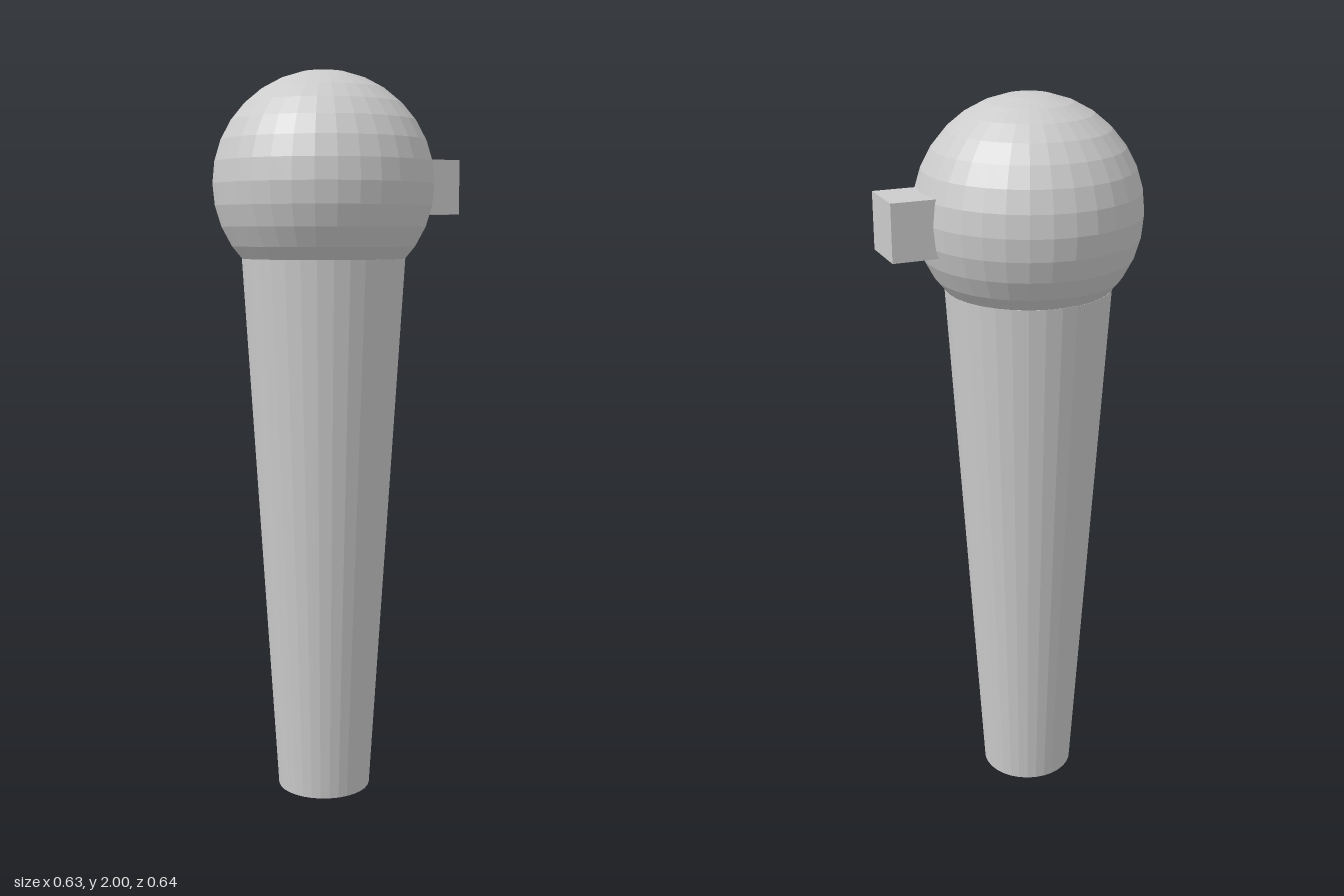
import * as THREE from 'three';

export function createModel() {
  const model = new THREE.Group();
  model.name = 'microphone';
  const material = new THREE.MeshStandardMaterial({ color: 0xcccccc, flatShading: true });

  // The round parts share an axis slightly off centre, balancing the side block
  const axisX = -0.016, axisZ = 0.016;
  const headY = 1.7, headRadius = 0.3;

  const add = (name, geometry, x, y, z) => {
    const mesh = new THREE.Mesh(geometry, material);
    mesh.name = name;
    mesh.position.set(x, y, z);
    model.add(mesh);
    return mesh;
  };

  // Round head
  add('head', new THREE.SphereGeometry(headRadius, 32, 16), axisX, headY, axisZ);

  // Tapered handle, meeting the head at y = 1.5
  const handleHeight = 1.5;
  add('handle', new THREE.CylinderGeometry(0.223, 0.13, handleHeight, 32), axisX, handleHeight / 2, axisZ);

  // Small cube set diagonally into the back left of the head
  const block = add('sideBlock', new THREE.BoxGeometry(0.15, 0.15, 0.15), 0.21, 1.695, -0.213);
  block.rotation.y = Math.PI / 4;

  return model;
}
